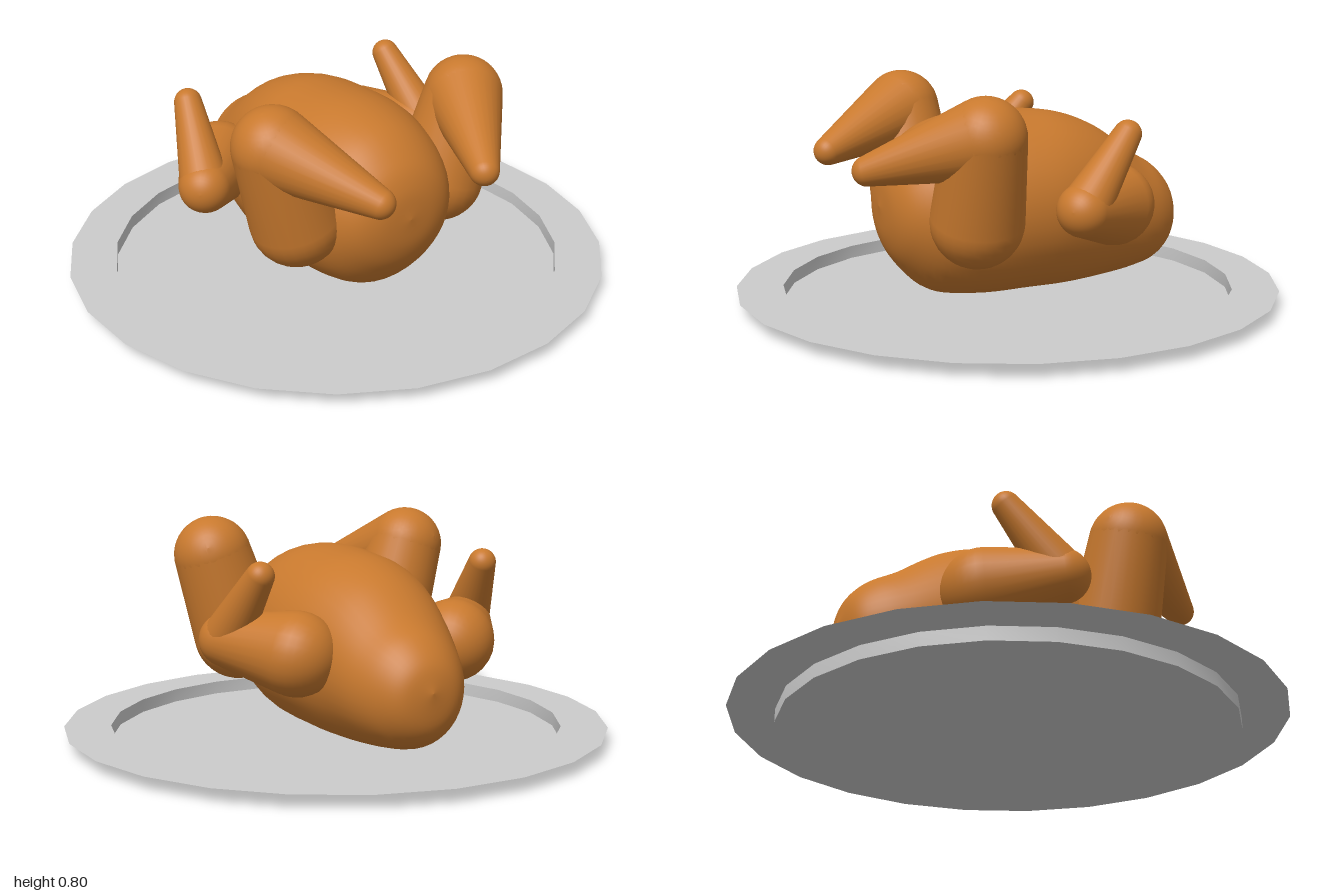
import * as THREE from 'three';
import { toCreasedNormals } from 'three/addons/utils/BufferGeometryUtils.js';

const meat = new THREE.MeshStandardMaterial({ color: 0xc8792e });
const metal = new THREE.MeshStandardMaterial({ color: 0xcccccc, side: THREE.DoubleSide });

function named(name, geometry, material) {
  const mesh = new THREE.Mesh(geometry, material);
  mesh.name = name;
  return mesh;
}

// Thin tray: flat base, short wall and flat rim
function trayGeometry() {
  const profile = [[0, 0], [0.83, 0], [0.83, 0.05], [1, 0.05]].map(p => new THREE.Vector2(...p));
  return toCreasedNormals(new THREE.LatheGeometry(profile, 24, -0.07), 0.6);
}

// Smooth body lofted from elliptical sections: z, top, bottom, half width
function bodyGeometry() {
  const sections = [
    [0.495, 0.37, 0.37, 0], [0.48, 0.48, 0.25, 0.125], [0.43, 0.57, 0.15, 0.215],
    [0.32, 0.655, 0.05, 0.285], [0.15, 0.695, 0.02, 0.33], [-0.05, 0.69, 0.02, 0.335],
    [-0.2, 0.672, 0.02, 0.31], [-0.35, 0.615, 0.03, 0.265], [-0.5, 0.51, 0.05, 0.22],
    [-0.6, 0.45, 0.08, 0.17], [-0.665, 0.375, 0.15, 0.105], [-0.69, 0.28, 0.28, 0],
  ];
  const heights = new THREE.CatmullRomCurve3(
    sections.map(s => new THREE.Vector3(s[1], s[2], s[0])), false, 'catmullrom');
  const widths = new THREE.CatmullRomCurve3(
    sections.map(s => new THREE.Vector3(s[3], 0, 0)), false, 'catmullrom');
  const rows = 66, cols = 40, pos = [], index = [];
  for (let i = 0; i <= rows; i++) {
    const h = heights.getPoint(i / rows), w = Math.max(0, widths.getPoint(i / rows).x);
    for (let j = 0; j < cols; j++) {
      const a = (j / cols) * Math.PI * 2;
      pos.push(w * Math.cos(a), (h.x + h.y) / 2 + ((h.x - h.y) / 2) * Math.sin(a), h.z);
      if (i === rows) continue;
      const p = i * cols + j, q = i * cols + ((j + 1) % cols);
      index.push(p, p + cols, q, q, p + cols, q + cols);
    }
  }
  const geo = new THREE.BufferGeometry();
  geo.setAttribute('position', new THREE.Float32BufferAttribute(pos, 3));
  geo.setIndex(index);
  geo.computeVertexNormals();
  return geo;
}

// Tapered limb with rounded ends, from point a (radius ra) to point b (radius rb)
function limb(name, a, ra, b, rb) {
  const from = new THREE.Vector3(...a), dir = new THREE.Vector3(...b).sub(from);
  const length = dir.length(), tilt = Math.asin((ra - rb) / length), profile = [];
  const arc = (y, r, start, end) => {
    for (let i = 0; i <= 10; i++) {
      const t = start + ((end - start) * i) / 10;
      profile.push(new THREE.Vector2(Math.max(0, r * Math.cos(t)), y + r * Math.sin(t)));
    }
  };
  arc(0, ra, -Math.PI / 2, tilt);
  arc(length, rb, tilt, Math.PI / 2);
  const mesh = named(name, new THREE.LatheGeometry(profile, 28), meat);
  mesh.position.copy(from);
  mesh.quaternion.setFromUnitVectors(new THREE.Vector3(0, 1, 0), dir.normalize());
  return mesh;
}

export function createModel() {
  const model = new THREE.Group();
  model.name = 'roastBirdOnTray';
  model.add(named('tray', trayGeometry(), metal));

  // The bird sits slightly off the tray's centre
  const bird = new THREE.Group();
  bird.name = 'roastBird';
  bird.position.x = -0.022;
  bird.add(named('body', bodyGeometry(), meat));

  for (const [side, s] of [['left', 1], ['right', -1]]) {
    // Leg: thigh up to the knee, then the shank forward and inward
    const hip = [s * 0.31, 0.355, 0.245], knee = [s * 0.405, 0.66, 0.255];
    const leg = new THREE.Group();
    leg.name = side + 'Leg';
    leg.add(
      limb('thigh', hip, 0.166, knee, 0.143),
      limb('shank', knee, 0.143, [s * 0.218, 0.545, 0.61], 0.053),
    );
    // Wing: shoulder out to the elbow, then the tip up and back
    const elbow = [s * 0.488, 0.4, -0.075];
    const wing = new THREE.Group();
    wing.name = side + 'Wing';
    wing.add(
      limb('shoulder', [s * 0.31, 0.37, -0.285], 0.15, elbow, 0.095),
      limb('wingTip', elbow, 0.09, [s * 0.438, 0.645, -0.27], 0.05),
    );
    bird.add(leg, wing);
  }
  model.add(bird);
  return model;
}
